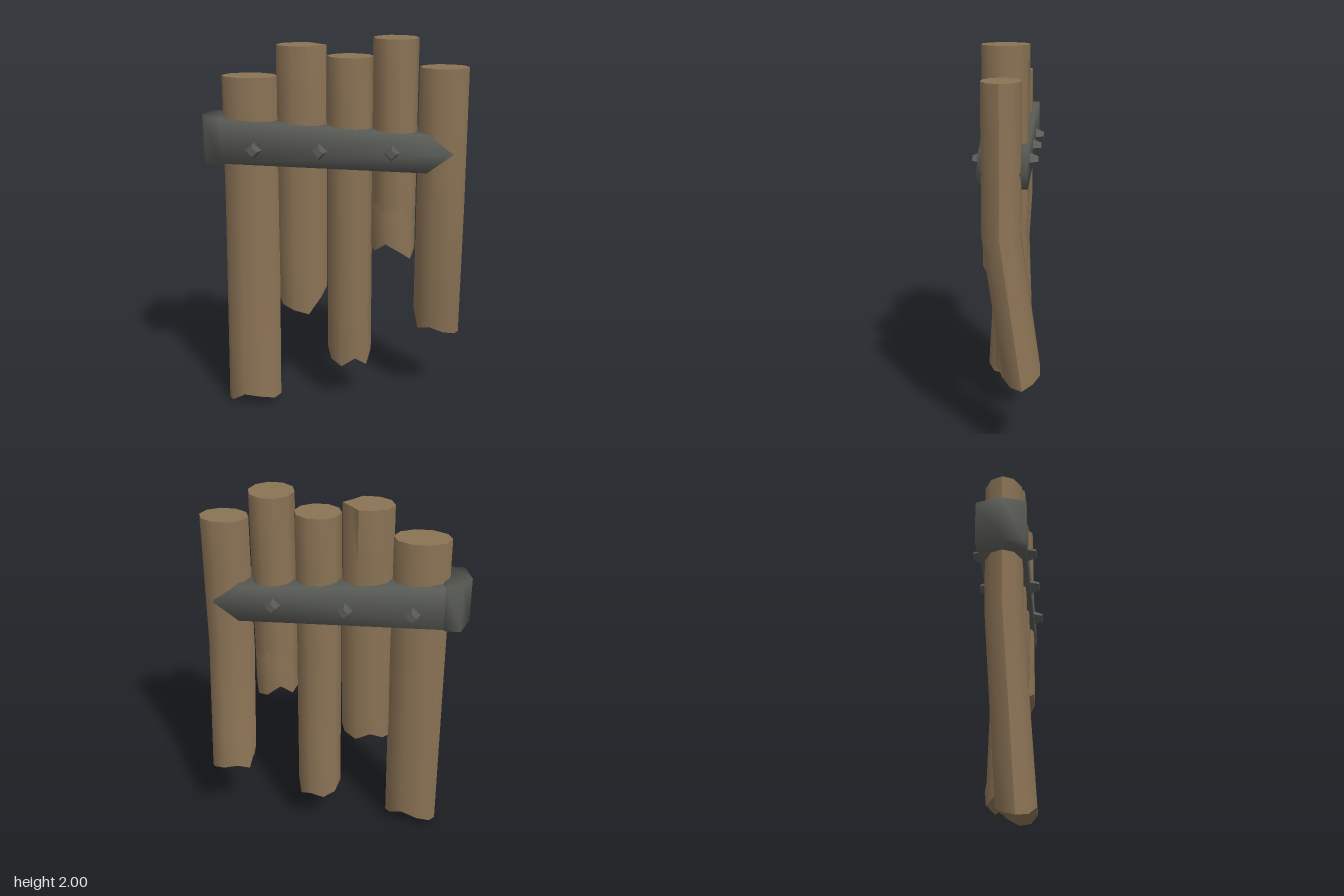
import * as THREE from 'three';
import { mergeVertices, toCreasedNormals } from 'three/addons/utils/BufferGeometryUtils.js';

const SIDES = 10;

// A log: oval rings from a flat top, through a bend, to a splintered hollow bottom.
// jag holds the height of each splinter, starting at +x and turning towards +z.
function logGeometry({ x0, x1, top, zTop, zBottom, depth, jag, dents = [] }) {
  const cx = (x0 + x1) / 2, rx = (x1 - x0) / 2, rz = depth / 2 / 0.951;
  const low = Math.min(...jag), bend = Math.min(1.12, low + (top - low) * 0.6);
  const rings = [top, top - 0.25, bend, low + 0.3, null];
  const pos = [], idx = [];

  rings.forEach((level, r) => {
    for (let i = 0; i < SIDES; i++) {
      const a = (i / SIDES) * Math.PI * 2;
      const y = level ?? jag[i];
      const t = THREE.MathUtils.clamp((bend - y) / (bend - low), 0, 1);
      const k = r === 0 && dents.includes(i) ? 0.78 : 1;
      pos.push(cx + Math.cos(a) * rx * k, y, THREE.MathUtils.lerp(zTop, zBottom, t) + Math.sin(a) * rz * k);
    }
  });
  for (let r = 0; r < rings.length - 1; r++) {
    for (let i = 0; i < SIDES; i++) {
      const j = (i + 1) % SIDES, a = r * SIDES, b = a + SIDES;
      idx.push(a + i, a + j, b + i, a + j, b + j, b + i);
    }
  }
  // flat top and raised bottom centre
  const topC = pos.length / 3, botC = topC + 1, last = (rings.length - 1) * SIDES;
  pos.push(cx, top, zTop, cx, low + 0.1, zBottom);
  for (let i = 0; i < SIDES; i++) {
    const j = (i + 1) % SIDES;
    idx.push(topC, j, i, botC, last + i, last + j);
  }
  const g = new THREE.BufferGeometry();
  g.setAttribute('position', new THREE.Float32BufferAttribute(pos, 3));
  g.setIndex(idx);
  return toCreasedNormals(g, Math.PI / 4);
}

// Prism from an outline, with shading blended over its edges
function softPrism(points, depth) {
  const shape = new THREE.Shape(points.map(([x, y]) => new THREE.Vector2(x, y)));
  const g = new THREE.ExtrudeGeometry(shape, { depth, bevelEnabled: false });
  g.deleteAttribute('uv');
  g.deleteAttribute('normal');
  const merged = mergeVertices(g, 1e-4);
  merged.computeVertexNormals();
  return merged;
}

export function createModel() {
  const wood = new THREE.MeshStandardMaterial({ color: 0x8b7355 });
  wood.name = 'weathered wood';
  const iron = new THREE.MeshStandardMaterial({ color: 0x585a55 });
  iron.name = 'dark iron';

  const model = new THREE.Group();
  model.name = 'logPanel';
  const add = (name, geometry, material) => {
    const mesh = new THREE.Mesh(geometry, material);
    mesh.name = name;
    model.add(mesh);
    return mesh;
  };

  // Logs, from the model's right to its left
  const logs = [
    { x0: -0.58, x1: -0.29, top: 1.8, zTop: 0.018, zBottom: 0.08, depth: 0.19,
      jag: [0.03, 0.03, 0.05, 0.06, 0.01, 0, 0.02, 0.06, 0.1, 0.06] },
    { x0: -0.295, x1: -0.036, top: 1.96, zTop: 0.02, zBottom: 0.03, depth: 0.19, dents: [1, 9],
      jag: [0.66, 0.62, 0.53, 0.55, 0.57, 0.6, 0.62, 0.66, 0.62, 0.64] },
    { x0: -0.034, x1: 0.205, top: 1.905, zTop: 0.017, zBottom: -0.015, depth: 0.2,
      jag: [0.28, 0.21, 0.26, 0.21, 0.24, 0.29, 0.25, 0.23, 0.25, 0.22] },
    { x0: 0.2, x1: 0.432, top: 2, zTop: 0.02, zBottom: 0.02, depth: 0.222,
      jag: [0.89, 0.85, 0.9, 0.94, 0.89, 0.9, 0.88, 0.94, 0.88, 0.86] },
    { x0: 0.437, x1: 0.688, top: 1.855, zTop: 0.021, zBottom: -0.085, depth: 0.185,
      jag: [0.37, 0.38, 0.4, 0.43, 0.41, 0.52, 0.41, 0.44, 0.42, 0.4] },
  ];
  logs.forEach((spec, i) => add(`log${i + 1}`, logGeometry(spec), wood));

  // Pointed band across the logs
  const band = add('band', softPrism(
    [[-0.62, 1.36], [0.485, 1.328], [0.615, 1.425], [0.485, 1.522], [-0.62, 1.59]], 0.235), iron);
  band.position.z = -0.1;

  // Six-sided block closing the band's blunt end
  const cap = add('bandEnd', softPrism(
    [[-0.69, -0.018], [-0.65, -0.145], [-0.568, -0.145], [-0.535, -0.018], [-0.568, 0.11], [-0.65, 0.11]], 0.236), iron);
  cap.rotation.x = -Math.PI / 2;
  cap.position.y = 1.358;

  // Studs on both faces of the band
  const studGeometry = new THREE.CylinderGeometry(0.024, 0.046, 0.055, 4).toNonIndexed();
  studGeometry.computeVertexNormals();
  studGeometry.rotateX(Math.PI / 2);
  for (const x of [-0.405, -0.065, 0.305]) {
    const front = add('frontStud', studGeometry, iron);
    front.position.set(x, 1.432, 0.156);
    const back = add('backStud', studGeometry, iron);
    back.position.set(x, 1.432, -0.116);
    back.rotation.y = Math.PI;
  }
  return model;
}
